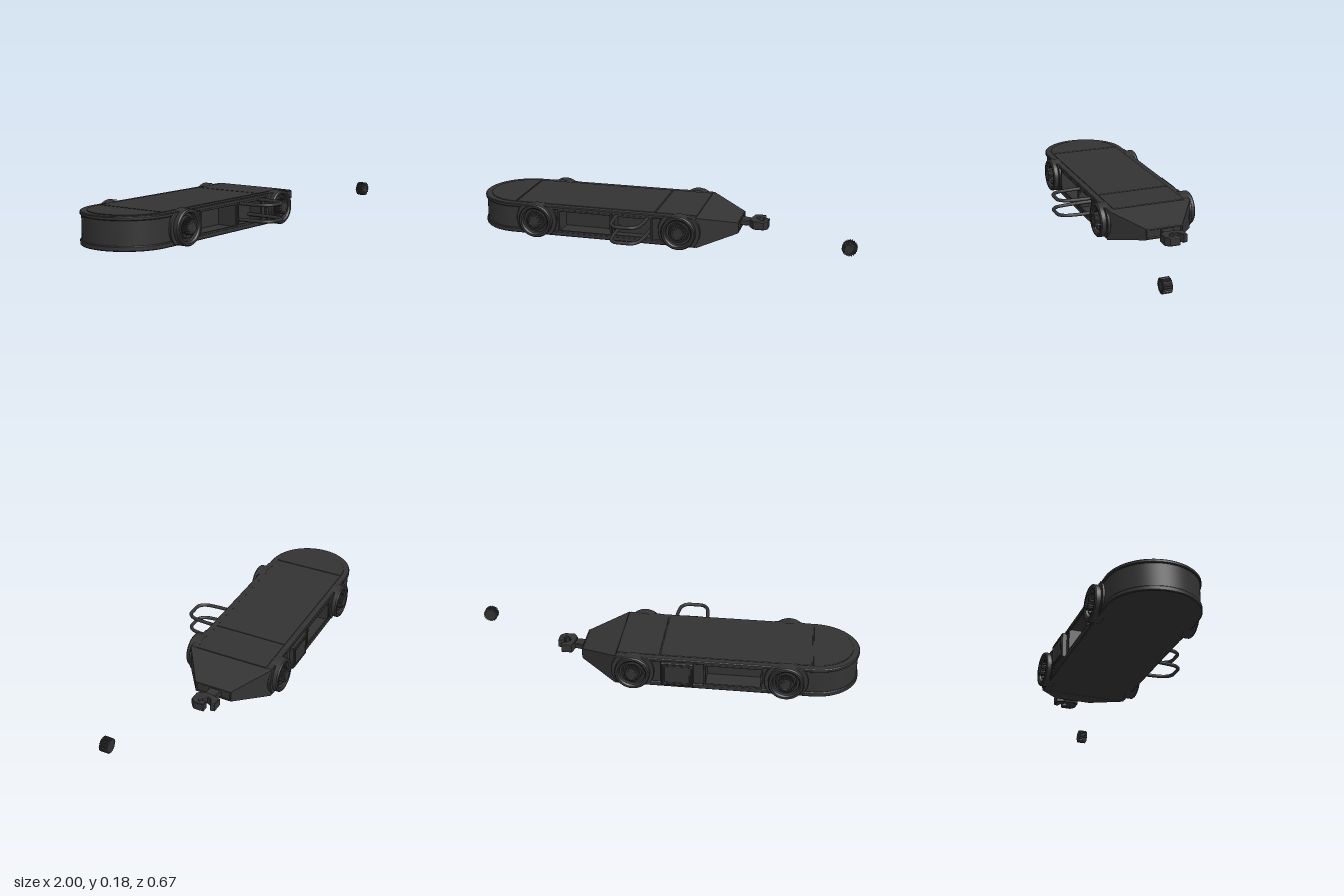
import * as THREE from 'three';
import { toCreasedNormals } from 'three/addons/utils/BufferGeometryUtils.js';

const mat = new THREE.MeshStandardMaterial({ color: 0x333333 });
const W = 0.226;        // half width of the body
const TAIL = -0.775;    // centre of the round end
const MID_Y = 0.09;

function add(parent, name, geometry, x = 0, y = 0, z = 0) {
  const mesh = new THREE.Mesh(geometry, mat);
  mesh.name = name;
  mesh.position.set(x, y, z);
  parent.add(mesh);
  return mesh;
}

function extrude(shape, depth, bevel = 0) {
  const g = new THREE.ExtrudeGeometry(shape, {
    depth: depth - 2 * bevel, curveSegments: 32, bevelEnabled: bevel > 0,
    bevelSize: bevel, bevelThickness: bevel, bevelOffset: -bevel, bevelSegments: 1,
  });
  g.translate(0, 0, bevel);
  return toCreasedNormals(g, 0.5);
}

// Plan shape (x, z) raised between two heights
function slab(parent, name, shape, y0, y1, bevel) {
  const g = extrude(shape, y1 - y0, bevel);
  g.rotateX(Math.PI / 2);
  return add(parent, name, g, 0, y1, 0);
}

const poly = (pts) => new THREE.Shape(pts.map(([x, y]) => new THREE.Vector2(x, y)));

// Body plan: round tail, straight sides, optional notches [x0, x1, depth]
function plan(w, xEnd, back = [], front = []) {
  const s = new THREE.Shape();
  s.moveTo(xEnd, -w);
  for (const [x0, x1, d] of back) {
    s.lineTo(x1, -w); s.lineTo(x1, d - w); s.lineTo(x0, d - w); s.lineTo(x0, -w);
  }
  s.lineTo(TAIL, -w);
  s.absarc(TAIL, 0, w, -Math.PI / 2, Math.PI / 2, true);
  for (const [x0, x1, d] of front) {
    s.lineTo(x0, w); s.lineTo(x0, w - d); s.lineTo(x1, w - d); s.lineTo(x1, w);
  }
  s.lineTo(xEnd, w);
  s.closePath();
  return s;
}

// Rectangular frame in the x-y plane
function frame(x0, x1, y0, y1, t) {
  const s = poly([[x0, y0], [x1, y0], [x1, y1], [x0, y1]]);
  s.holes.push(poly([[x0 + t, y0 + t], [x0 + t, y1 - t], [x1 - t, y1 - t], [x1 - t, y0 + t]]));
  return s;
}

// Ridged cap with its axis along z
function knob(r, depth) {
  const n = 20, pts = [];
  for (let i = 0; i < n * 4; i++) {
    const a = (i / (n * 4)) * Math.PI * 2;
    const q = i % 4 < 2 ? r : r * 0.87;
    pts.push([Math.cos(a) * q, Math.sin(a) * q]);
  }
  return extrude(poly(pts), depth, 0.002);
}

// Wheel facing +z, origin on the body side
function wheel() {
  const g = new THREE.Group();
  const profile = [[0.088, -0.03], [0.088, 0.025], [0.083, 0.031], [0.073, 0.031],
    [0.066, 0.024], [0.064, 0.008], [0.054, 0.008], [0.052, 0.02], [0.046, 0.02], [0.044, 0.006], [0, 0.006]];
  const lathe = new THREE.LatheGeometry(profile.map(([r, y]) => new THREE.Vector2(r, y)), 40);
  lathe.rotateX(Math.PI / 2);
  add(g, 'wheelRim', toCreasedNormals(lathe, 0.5), 0, -0.002, 0);
  add(g, 'hubCap', knob(0.037, 0.043));
  add(g, 'hubRing', new THREE.TorusGeometry(0.023, 0.003, 6, 32), 0, 0, 0.041);

  const a = Math.asin(0.076 / 0.108), fender = new THREE.Shape();
  fender.absarc(0, 0, 0.108, -a, a, false);
  fender.absarc(0, 0, 0.108, Math.PI - a, Math.PI + a, false);
  fender.closePath();
  add(g, 'fender', extrude(fender, 0.016, 0.002), 0, 0, -0.012);
  return g;
}

function buildBody() {
  const body = new THREE.Group();
  body.name = 'body';
  const opening = [-0.52, -0.25, 0.1];
  slab(body, 'lowerShell', plan(W, 0.2), 0.009, 0.034, 0.004);
  slab(body, 'middleShell', plan(W - 0.007, 0.2, [opening], [opening, [-0.225, -0.035, 0.06]]), 0.034, 0.148);
  slab(body, 'upperShell', plan(W, 0.2), 0.148, 0.167, 0.004);

  // Deck panels separated by narrow seams
  const D = W - 0.033;
  slab(body, 'rearDeckPanel', plan(D, -0.772), 0.165, 0.17, 0.001);
  for (const [x0, x1] of [[-0.766, -0.022], [-0.016, 0.198]]) {
    slab(body, 'deckPanel', poly([[x0, -D], [x1, -D], [x1, D], [x0, D]]), 0.165, 0.17, 0.001);
  }

  // Tapered nose
  const nose = new THREE.BoxGeometry(0.19, 0.158, 2 * W);
  const p = nose.attributes.position;
  for (let i = 0; i < p.count; i++) {
    if (p.getX(i) > 0) p.setXYZ(i, p.getX(i), p.getY(i) * 0.36, p.getZ(i) * 0.43);
  }
  nose.computeVertexNormals();
  add(body, 'nose', nose, 0.295, 0.088, 0);
  const socket = extrude(frame(-0.095, 0.095, -0.028, 0.028, 0.009), 0.008, 0.002);
  socket.rotateY(Math.PI / 2);
  add(body, 'noseSocket', socket, 0.386, MID_Y, 0);

  // Frames around the side openings
  for (const side of [-1, 1]) {
    add(body, 'openingFrame', extrude(frame(-0.53, -0.24, 0.03, 0.152, 0.01), 0.008, 0.001), 0, 0, side * (W - 0.004) - 0.004);
  }
  add(body, 'handleFrame', extrude(frame(-0.235, -0.025, 0.03, 0.152, 0.012), 0.008, 0.001), 0, 0, W - 0.008);

  // Raised hatch on the back side
  add(body, 'hatch', extrude(poly([[-0.19, 0.028], [-0.03, 0.028], [-0.03, 0.155], [-0.19, 0.155]]), 0.03, 0.004), 0, 0, -W - 0.018);
  add(body, 'hatchRim', extrude(frame(-0.18, -0.04, 0.038, 0.145, 0.008), 0.006, 0.001), 0, 0, -W - 0.021);

  // Four wheels
  for (const x of [-0.645, 0.113]) {
    for (const side of [-1, 1]) {
      const w = wheel();
      w.name = side > 0 ? 'frontSideWheel' : 'backSideWheel';
      w.position.set(x, MID_Y, side * W);
      if (side < 0) w.rotation.y = Math.PI;
      body.add(w);
    }
  }
  body.position.z = -0.063;
  return body;
}

export function createModel() {
  const model = new THREE.Group();
  model.name = 'trailer';
  model.add(buildBody());

  // Coupling hook, thicker at the head than at the neck
  const hook = poly([[0.443, -0.096], [0.453, -0.133], [0.507, -0.133], [0.512, -0.112],
    [0.48, -0.096], [0.469, -0.075], [0.48, -0.053], [0.501, -0.043], [0.512, -0.053],
    [0.501, -0.064], [0.501, -0.085], [0.533, -0.085], [0.533, -0.032], [0.512, -0.011],
    [0.459, -0.011], [0.437, -0.043]]);
  slab(model, 'couplingHook', hook, 0.07, 0.114, 0.003);
  slab(model, 'couplingNeck', poly([[0.38, -0.112], [0.45, -0.096], [0.45, -0.043], [0.38, -0.043]]), 0.078, 0.106, 0.003);

  // Two looped side handles
  const loop = [[-0.213, 0.08], [-0.213, 0.17], [-0.21, 0.24], [-0.2, 0.295], [-0.175, 0.322], [-0.132, 0.325]];
  const mirrored = loop.slice(0, -1).reverse().map(([x, z]) => [-0.264 - x, z]);
  const curve = new THREE.CatmullRomCurve3([...loop, ...mirrored].map(([x, z]) => new THREE.Vector3(x, 0, z)));
  for (const y of [0.064, 0.145]) {
    add(model, 'sideHandle', new THREE.TubeGeometry(curve, 64, 0.009, 10), 0, y, 0);
  }

  // Loose ridged cap
  add(model, 'looseCap', knob(0.037, 0.045), 0.963, MID_Y, 0.16);
  add(model, 'looseCapRing', new THREE.TorusGeometry(0.023, 0.003, 6, 32), 0.963, MID_Y, 0.204);
  return model;
}
